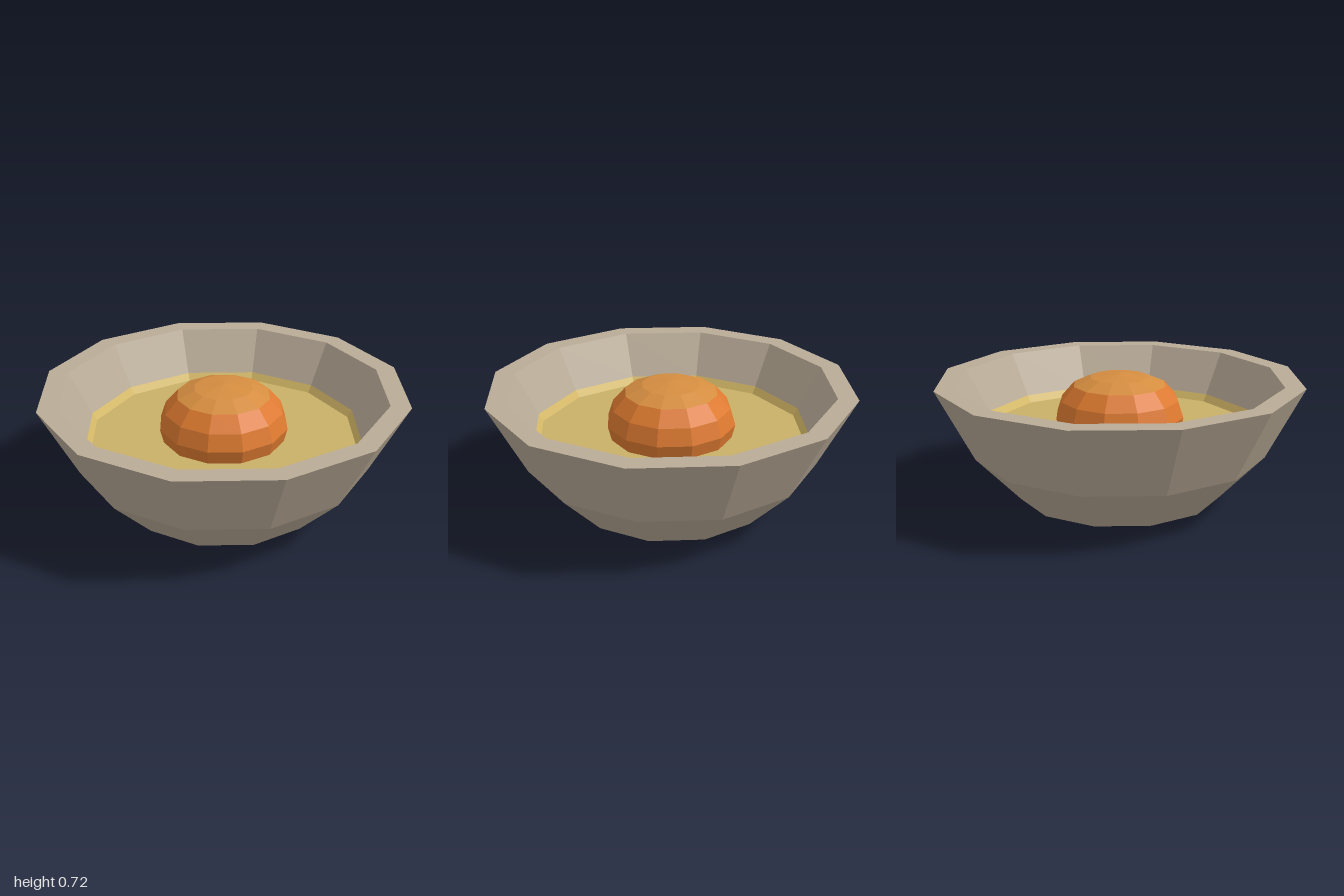
import * as THREE from 'three';

const SIDES = 12;

function material(name, color) {
  const m = new THREE.MeshStandardMaterial({ color, flatShading: true });
  m.name = name;
  return m;
}

// Faceted turned part from [radius, height] pairs; rising profiles face outward
function turned(name, profile, mat) {
  const points = profile.map(([r, y]) => new THREE.Vector2(r, y));
  const mesh = new THREE.Mesh(new THREE.LatheGeometry(points, SIDES), mat);
  mesh.name = name;
  return mesh;
}

export function createModel() {
  const clay = material('clay', 0xb9ab97);
  const broth = material('broth', 0xc9b067);
  const brothEdge = material('brothEdge', 0xd6ba68);
  const yolkSide = material('yolkOrange', 0xde7a30);
  const yolkTop = material('yolkLightOrange', 0xd58d40);

  const group = new THREE.Group();
  group.name = 'bowlWithYolk';
  group.add(
    // Base, outer wall, rim and inner wall down to the broth
    turned('bowl', [[0, 0], [0.27, 0], [0.56, 0.05], [0.8, 0.3], [1, 0.69], [0.89, 0.69], [0.76, 0.455]], clay),
    // Bright film where the broth meets the wall
    turned('brothEdge', [[0.76, 0.455], [0.735, 0.415]], brothEdge),
    turned('broth', [[0.735, 0.415], [0, 0.415]], broth),
    // Domed yolk with a paler cap
    turned('yolk', [[0.335, 0.41], [0.355, 0.49], [0.325, 0.58], [0.255, 0.66]], yolkSide),
    turned('yolkCap', [[0.255, 0.66], [0.16, 0.7], [0, 0.72]], yolkTop),
  );
  return group;
}
